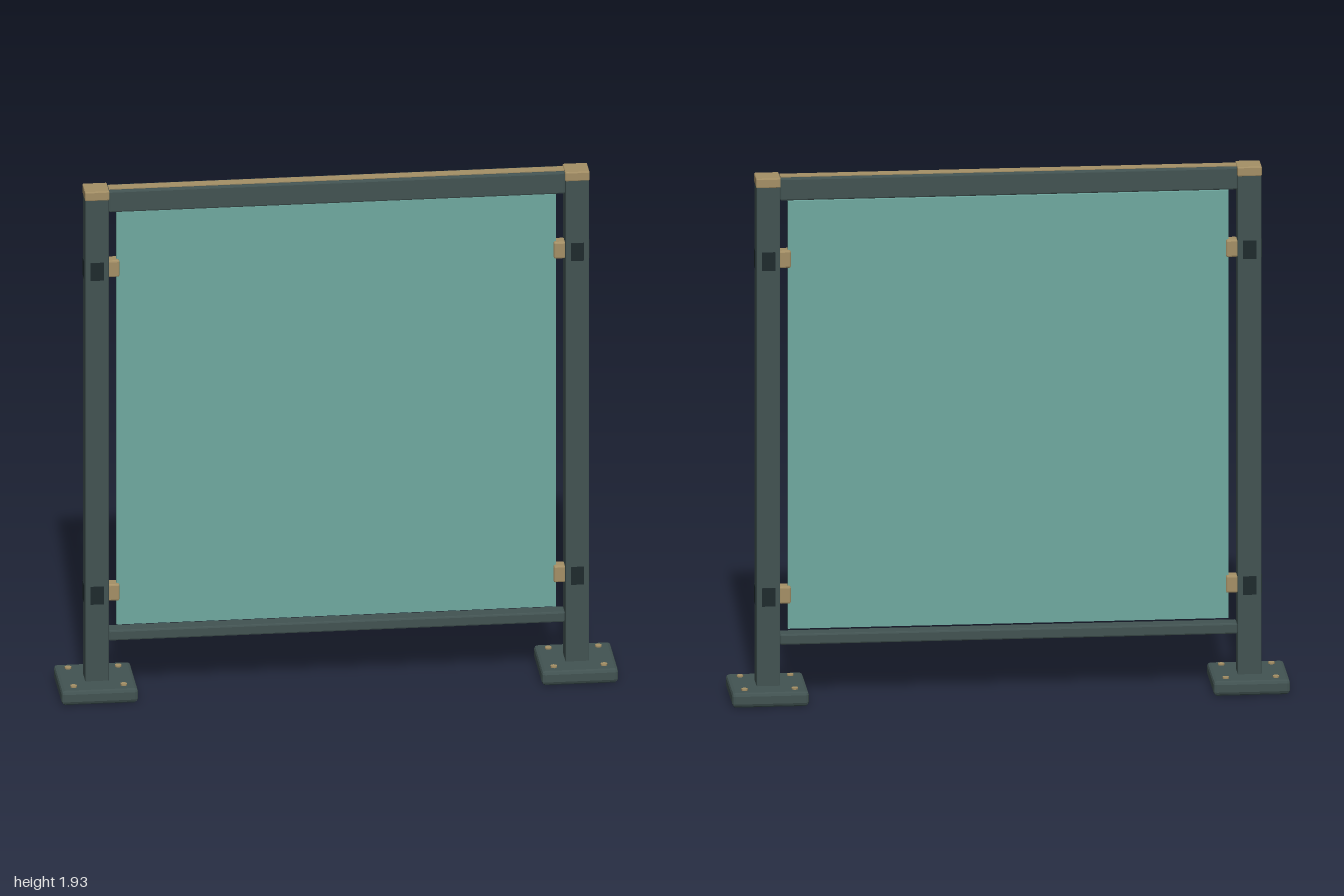
import * as THREE from 'three';
import { RoundedBoxGeometry } from 'three/addons/geometries/RoundedBoxGeometry.js';

const mat = (name, color) => {
  const m = new THREE.MeshStandardMaterial({ color });
  m.name = name;
  return m;
};

export function createModel() {
  const frame = mat('slate frame', 0x425352);
  const brass = mat('brass trim', 0xa59066);
  const dark = mat('dark inset', 0x1f2b2d);
  const glass = mat('teal glass', 0x70a9a0);

  const model = new THREE.Group();
  model.name = 'glassScreen';

  const add = (parent, name, geometry, material, x, y, z) => {
    const mesh = new THREE.Mesh(geometry, material);
    mesh.name = name;
    mesh.position.set(x, y, z);
    parent.add(mesh);
    return mesh;
  };
  const box = (w, h, d) => new THREE.BoxGeometry(w, h, d);
  // Box with faceted, slightly broken edges
  const bevelBox = (w, h, d, r) => {
    const g = new RoundedBoxGeometry(w, h, d, 1, r);
    g.computeVertexNormals();
    return g;
  };

  // Glass panel and the two rails
  add(model, 'glassPanel', box(1.58, 1.585, 0.02), glass, 0, 1.0475, 0);
  add(model, 'topRail', bevelBox(1.64, 0.083, 0.07, 0.006), frame, 0, 1.8905, 0);
  add(model, 'topRailStrip', box(1.635, 0.006, 0.04), brass, 0, 1.932, 0);
  add(model, 'bottomRail', bevelBox(1.64, 0.04, 0.06, 0.006), frame, 0, 0.22, 0);

  for (const side of [-1, 1]) {
    const group = new THREE.Group();
    group.name = side > 0 ? 'leftPost' : 'rightPost';
    model.add(group);
    const px = side * 0.8625;
    const footX = side * 0.8625;

    // Foot plate, dark underside pad and anchor bolts
    add(group, 'footPlate', bevelBox(0.275, 0.052, 0.272, 0.012), frame, footX, 0.028, 0);
    add(group, 'footPad', box(0.256, 0.006, 0.253), dark, footX, 0.003, 0);
    for (const bx of [-0.09, 0.09])
      for (const bz of [-0.09, 0.09])
        add(group, 'bolt', new THREE.CylinderGeometry(0.012, 0.012, 0.012, 12), brass, footX + bx, 0.054, bz);

    // Upright and its cap
    add(group, 'upright', bevelBox(0.085, 1.86, 0.086, 0.004), frame, px, 0.975, 0);
    add(group, 'postCap', bevelBox(0.088, 0.035, 0.09, 0.004), brass, px, 1.9175, 0);

    // Glass clips with dark inset plates on the front, back and outer faces
    for (const y of [0.383, 1.628]) {
      add(group, 'glassClip', bevelBox(0.042, 0.064, 0.05, 0.006), brass, side * 0.801, y, 0);
      for (const z of [-0.043, 0.043])
        add(group, 'insetPlate', box(0.048, 0.068, 0.006), dark, px, y, z);
      add(group, 'outerInsetPlate', box(0.006, 0.068, 0.042), dark, side * 0.905, y, 0);
    }
  }
  return model;
}
